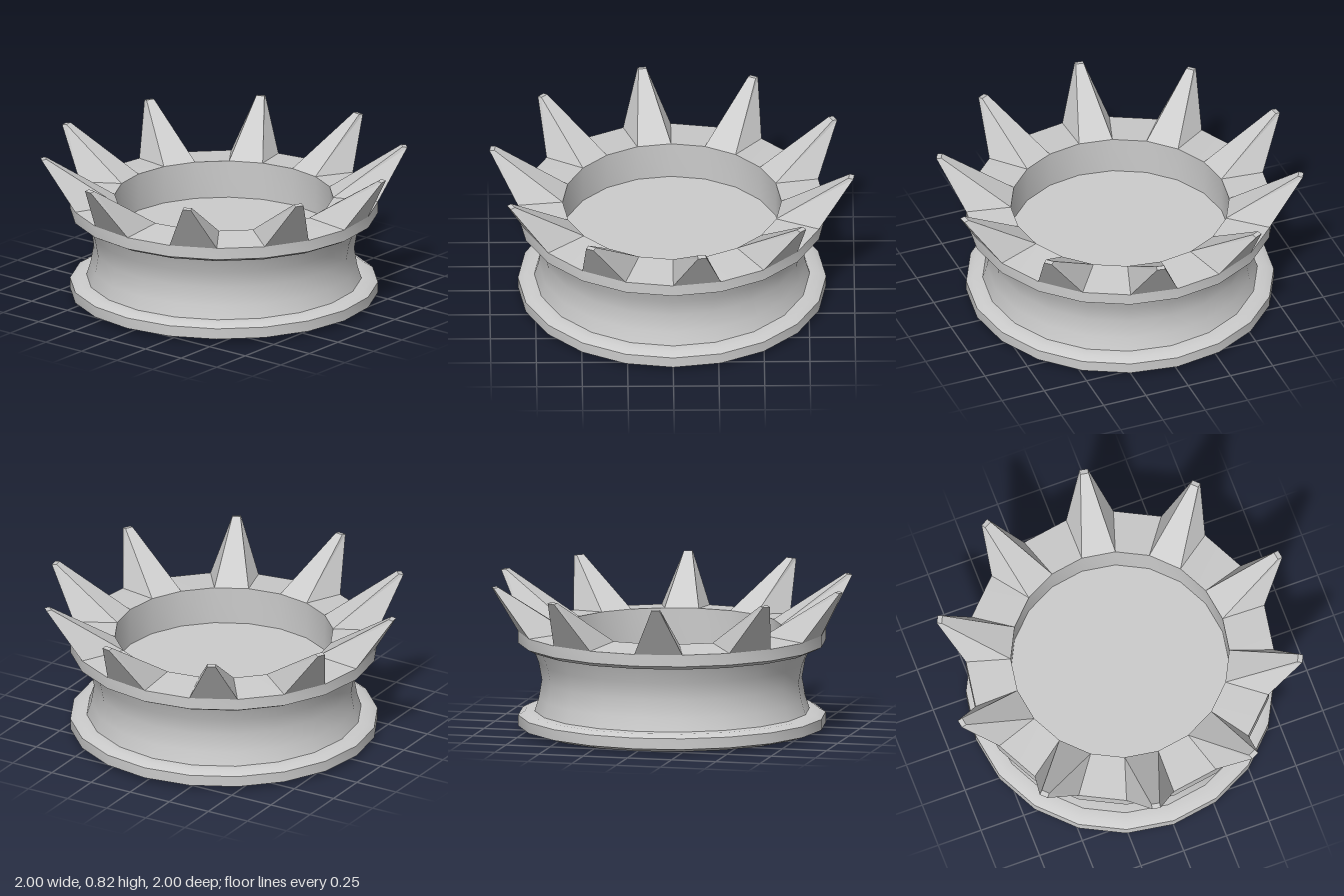
import * as THREE from 'three';
import { toCreasedNormals } from 'three/addons/utils/BufferGeometryUtils.js';

const SIDES = 20;
const SPIKES = 10;
const STEP = (Math.PI * 2) / SIDES;

// point on a ring, angle measured from +x towards -z
const polar = (radius, angle, y) => [radius * Math.cos(angle), y, -radius * Math.sin(angle)];

// four-sided tapering spike standing on one segment of the rim
function spikeGeometry(start) {
  const end = start + STEP;
  const mid = start + STEP / 2;
  const half = 0.023;
  const base = [polar(0.6, start, 0.57), polar(0.845, start, 0.55),
    polar(0.845, end, 0.55), polar(0.6, end, 0.57)];
  const tip = [polar(0.982, mid - half, 0.825), polar(1.009, mid - half, 0.82),
    polar(1.009, mid + half, 0.82), polar(0.982, mid + half, 0.825)];
  const positions = [];
  const quad = (a, b, c, d) => positions.push(...a, ...b, ...c, ...a, ...c, ...d);
  for (let i = 0; i < 4; i++) {
    const j = (i + 1) % 4;
    quad(base[i], base[j], tip[j], tip[i]);
  }
  quad(...tip);
  const geometry = new THREE.BufferGeometry();
  geometry.setAttribute('position', new THREE.Float32BufferAttribute(positions, 3));
  geometry.computeVertexNormals();
  return geometry;
}

export function createModel() {
  const group = new THREE.Group();
  group.name = 'spikedBowl';
  const material = new THREE.MeshStandardMaterial({ color: 0xcccccc });

  // foot, waisted wall, rim and recessed floor in one turned profile
  const profile = [
    [0, 0], [0.765, 0], [0.845, 0.025], [0.845, 0.085], [0.81, 0.105], [0.755, 0.107],
    [0.732, 0.18], [0.715, 0.28], [0.732, 0.375], [0.765, 0.46],
    [0.8, 0.462], [0.845, 0.485], [0.845, 0.55],
    [0.6, 0.57], [0.6, 0.36], [0, 0.36],
  ].map(([r, y]) => new THREE.Vector2(r, y));
  const bowl = new THREE.Mesh(
    toCreasedNormals(new THREE.LatheGeometry(profile, SIDES), THREE.MathUtils.degToRad(40)),
    material,
  );
  bowl.name = 'bowl';
  group.add(bowl);

  // spikes on every second rim segment
  const spikes = new THREE.Group();
  spikes.name = 'spikes';
  for (let i = 0; i < SPIKES; i++) {
    const spike = new THREE.Mesh(spikeGeometry(i * 2 * STEP), material);
    spike.name = 'spike';
    spikes.add(spike);
  }
  group.add(spikes);

  return group;
}
